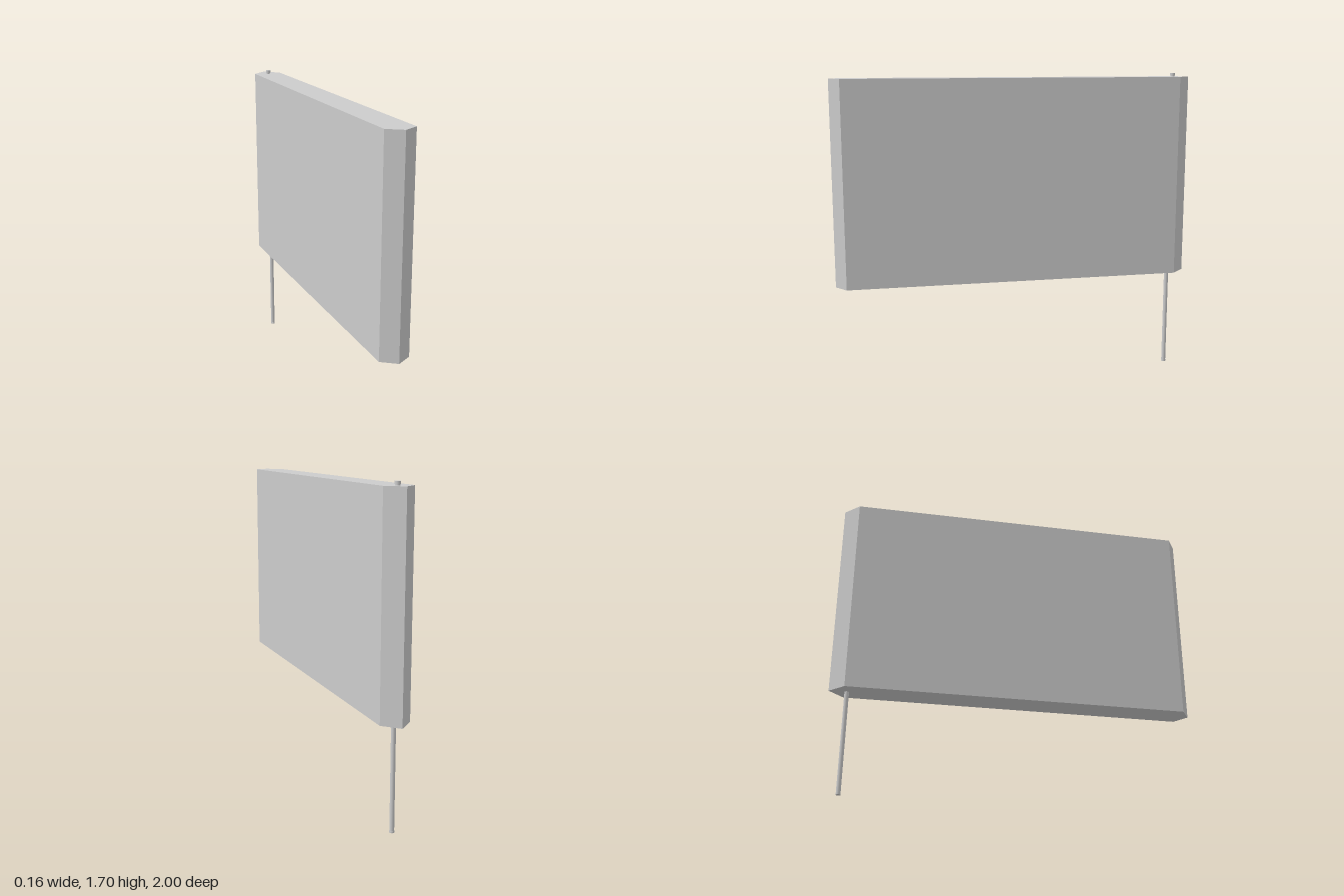
import * as THREE from 'three';

export function createModel() {
  const model = new THREE.Group();
  const flat = new THREE.MeshStandardMaterial({ color: 0xcccccc, flatShading: true });
  const smooth = new THREE.MeshStandardMaterial({ color: 0xcccccc });

  // Flat slab with pointed front and back edges, drawn in plan as [x, z]
  const plan = [[0, 1], [0.08, 0.945], [0.08, -0.92], [0, -1], [-0.08, -0.92], [-0.08, 0.945]];
  const shape = new THREE.Shape(plan.map(([x, z]) => new THREE.Vector2(x, -z)));
  const slab = new THREE.ExtrudeGeometry(shape, { depth: 1.12, bevelEnabled: false });
  slab.rotateX(-Math.PI / 2).translate(0, 0.56, 0);
  const panel = new THREE.Mesh(slab, flat);
  panel.name = 'panel';
  model.add(panel);

  // Upright spindle through the slab near its back edge
  const spindle = new THREE.Group();
  spindle.name = 'spindle';
  spindle.position.z = -0.905;
  model.add(spindle);

  const addRod = (name, radius, y0, y1) => {
    const rod = new THREE.Mesh(new THREE.CylinderGeometry(radius, radius, y1 - y0, 24), smooth);
    rod.name = name;
    rod.position.y = (y0 + y1) / 2;
    spindle.add(rod);
  };
  addRod('rod', 0.012, 0.008, 1.69);
  addRod('bottomCap', 0.013, 0, 0.01);
  addRod('topCap', 0.014, 1.686, 1.7);

  return model;
}
